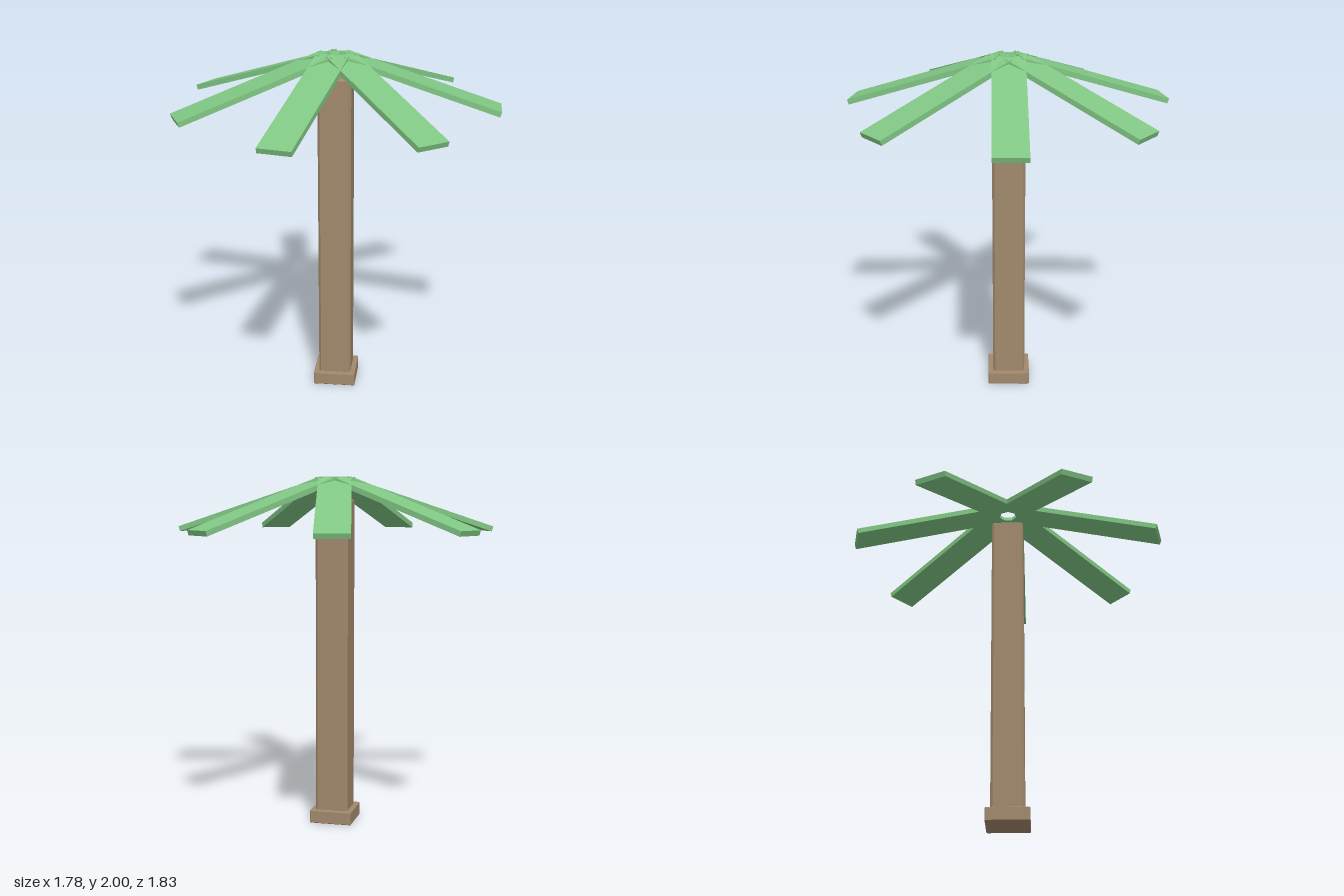
import * as THREE from 'three';

const AXIS_X = -0.027; // trunk axis, offset so the seven fronds are centred

// Square block with chamfered edges, standing on y = bottom
function chamferedBlock(width, bottom, top, c) {
  const a = width / 2 - c; // half width before the bevel widens it
  const k = c;             // corner cut
  const shape = new THREE.Shape([
    [a, -a + k], [a, a - k], [a - k, a], [-a + k, a],
    [-a, a - k], [-a, -a + k], [-a + k, -a], [a - k, -a],
  ].map(([x, y]) => new THREE.Vector2(x, y)));
  const geo = new THREE.ExtrudeGeometry(shape, {
    depth: top - bottom - 2 * c,
    bevelEnabled: true, bevelSegments: 1, bevelSize: c, bevelThickness: c,
  });
  geo.rotateX(-Math.PI / 2);
  geo.translate(0, bottom + c, 0);
  return geo;
}

export function createModel() {
  const model = new THREE.Group();
  model.name = 'palmTree';

  const bark = new THREE.MeshStandardMaterial({ color: 0xa1886c, flatShading: true });
  bark.name = 'bark brown';
  const leaf = new THREE.MeshStandardMaterial({ color: 0x81c784, flatShading: true });
  leaf.name = 'leaf green';

  const tree = new THREE.Group();
  tree.name = 'tree';
  tree.position.x = AXIS_X;
  model.add(tree);

  // Trunk and its foot
  const foot = new THREE.Mesh(chamferedBlock(0.245, 0, 0.075, 0.003), bark);
  foot.name = 'foot';
  const trunk = new THREE.Mesh(chamferedBlock(0.188, 0.06, 1.873, 0.008), bark);
  trunk.name = 'trunk';
  tree.add(foot, trunk);

  // Drooping plank fronds; origin at the upper inner edge
  const length = 0.907, thickness = 0.03, width = 0.188;
  const frondGeo = new THREE.BoxGeometry(length, thickness, width);
  frondGeo.translate(length / 2, -thickness / 2, 0);
  frondGeo.rotateZ(-Math.atan2(0.283, 0.862));
  frondGeo.translate(0.055, 2, 0);

  const crown = new THREE.Group();
  crown.name = 'crown';
  for (let i = 0; i < 7; i++) {
    const frond = new THREE.Mesh(frondGeo, leaf);
    frond.name = `frond${i + 1}`;
    frond.rotation.y = (i / 7) * Math.PI * 2;
    crown.add(frond);
  }
  tree.add(crown);

  return model;
}
